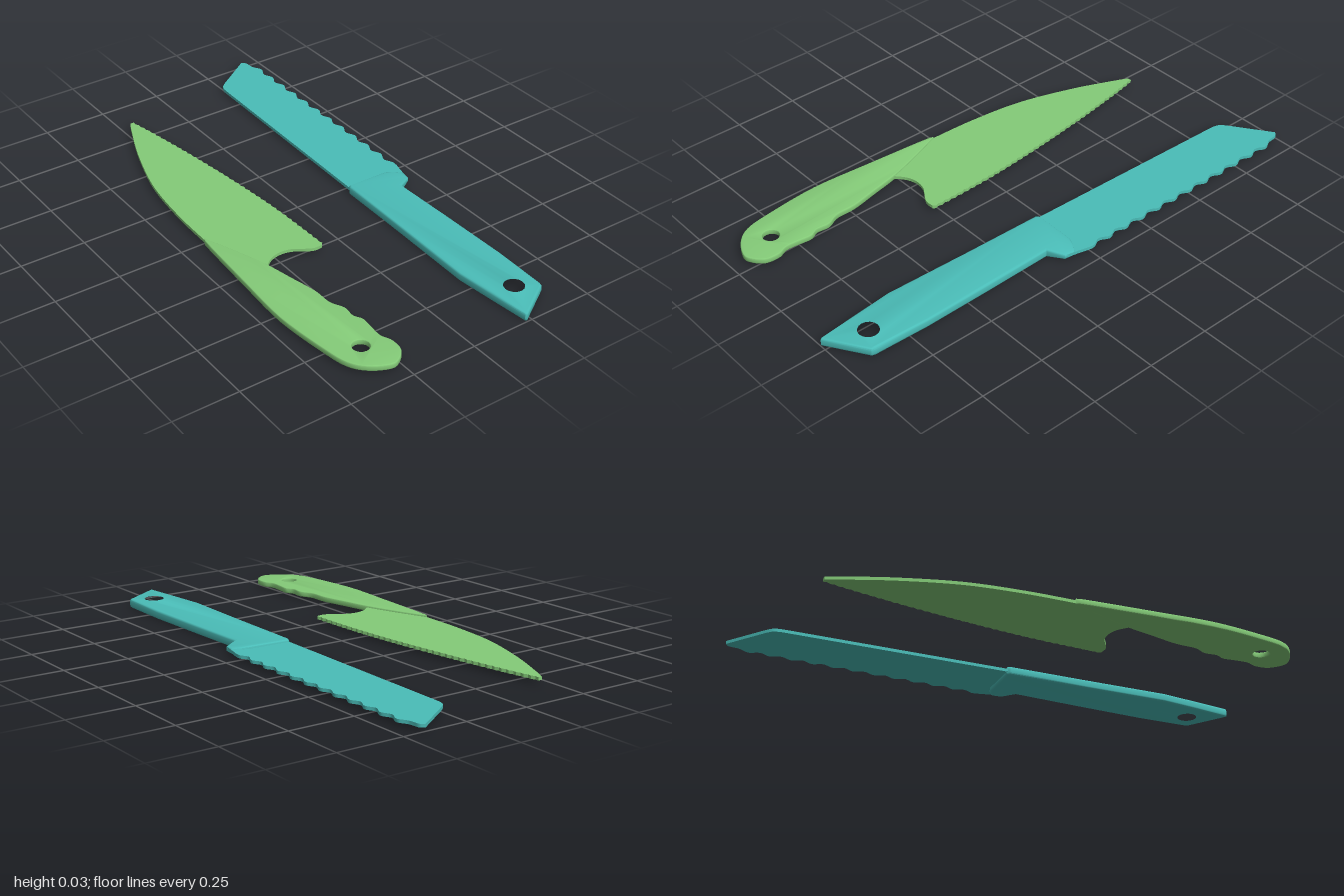
import * as THREE from 'three';
import { toCreasedNormals } from 'three/addons/utils/BufferGeometryUtils.js';

const v = ([x, z]) => new THREE.Vector2(x, z);
const smooth = (pts, n) => new THREE.SplineCurve(pts.map(v)).getPoints(n);

// Lay a flat outline (x, z) down as a plate between heights y0 and y1
function plate(name, outline, y0, y1, color, { bevel = 0, hole } = {}) {
  const shape = new THREE.Shape(outline);
  if (hole) shape.holes.push(new THREE.Path().absarc(hole[0], hole[1], hole[2], 0, Math.PI * 2, true));
  let geo = new THREE.ExtrudeGeometry(shape, {
    depth: y1 - y0 - 2 * bevel, curveSegments: 8,
    bevelEnabled: bevel > 0, bevelThickness: bevel, bevelSize: bevel, bevelOffset: -bevel, bevelSegments: 3,
  });
  geo.rotateX(Math.PI / 2).translate(0, y1 - bevel, 0);
  geo = toCreasedNormals(geo, 0.6);
  const mesh = new THREE.Mesh(geo, new THREE.MeshStandardMaterial({ color }));
  mesh.name = name;
  return mesh;
}

function serratedKnife() {
  const color = 0x4abdb8;
  const group = new THREE.Group();
  group.name = 'serratedKnife';

  // Blade with a row of scallops along the cutting edge
  const edge = [[-1, -0.415], [-0.985, -0.43], [-0.945, -0.435]];
  const teeth = 12, step = 0.0814;
  for (let i = 0; i < teeth; i++) {
    const x = -0.905 + i * step;
    edge.push([x, -0.454]);
    if (i < teeth - 1) edge.push([x + step / 2, -0.438]);
  }
  edge.push([0.05, -0.442], [0.1, -0.432]);
  const blade = [
    ...smooth(edge, 130),
    ...[[0.1, -0.22], [0.03, -0.212], [-0.83, -0.234]].map(v),
    ...smooth([[-0.85, -0.235], [-0.875, -0.243], [-0.895, -0.265]], 6),
  ];
  group.add(plate('serratedBlade', blade, 0.012, 0.024, color));

  // Handle with a small finger guard and a hanging hole
  const handle = [
    [0.03, -0.215], [0.042, -0.206], [0.35, -0.2], [0.695, -0.19], [0.85, -0.206], [0.995, -0.222], [1, -0.228],
    [0.905, -0.376], [0.89, -0.38], [0.68, -0.386], [0.4, -0.381], [0.14, -0.374],
    [0.105, -0.432], [0.065, -0.437], [0.045, -0.41], [0.033, -0.38],
  ].map(v);
  const grip = plate('serratedKnifeHandle', handle, 0, 0.034, color, { bevel: 0.008, hole: [0.855, -0.295, 0.046] });

  // The guard thins out towards the cutting edge
  const pos = grip.geometry.attributes.position;
  for (let i = 0; i < pos.count; i++) {
    const t = THREE.MathUtils.clamp((-pos.getZ(i) - 0.385) / 0.05, 0, 1);
    pos.setY(i, 0.017 + (pos.getY(i) - 0.017) * (1 - 0.4 * t));
  }
  grip.geometry = toCreasedNormals(grip.geometry, 0.6);
  group.add(grip);
  return group;
}

function chefKnife() {
  const color = 0x84cb78;
  const group = new THREE.Group();
  group.name = 'chefKnife';

  // Blade: fine teeth on the cutting edge, hollowed heel and curved spine
  const curve = new THREE.SplineCurve([
    [-0.835, 0.204], [-0.715, 0.18], [-0.5, 0.145], [-0.245, 0.112], [0, 0.09], [0.265, 0.082],
  ].map(v));
  const edge = curve.getSpacedPoints(72).map((p, i) => v([p.x, p.y + (i % 2 ? 0.003 : -0.002)]));
  const blade = [
    ...edge,
    ...smooth([[0.275, 0.088], [0.276, 0.12], [0.262, 0.15], [0.236, 0.19], [0.228, 0.235], [0.24, 0.28], [0.272, 0.32]], 24),
    ...[[0.27, 0.345], [0.08, 0.408]].map(v),
    ...smooth([[0.01, 0.411], [-0.18, 0.404], [-0.395, 0.377], [-0.61, 0.313], [-0.77, 0.248], [-0.835, 0.218]], 30),
  ];
  group.add(plate('chefBlade', blade, 0.013, 0.025, color));

  // Handle: slanted front, finger ripples below, rounded butt and hanging hole
  const handle = [
    ...smooth([
      [0.01, 0.41], [0.14, 0.36], [0.267, 0.318], [0.38, 0.293], [0.487, 0.27], [0.567, 0.267], [0.62, 0.244],
      [0.67, 0.247], [0.706, 0.231], [0.754, 0.235], [0.807, 0.238], [0.85, 0.222], [0.904, 0.228],
      [0.94, 0.265], [0.947, 0.302], [0.914, 0.366], [0.856, 0.411], [0.754, 0.432], [0.54, 0.452],
      [0.3, 0.438], [0.075, 0.422],
    ], 90),
    v([0.025, 0.417]),
  ];
  group.add(plate('chefKnifeHandle', handle, 0.01, 0.032, color, { bevel: 0.004, hole: [0.815, 0.324, 0.031] }));
  return group;
}

export function createModel() {
  const model = new THREE.Group();
  model.name = 'knifePair';
  model.add(serratedKnife(), chefKnife());
  return model;
}
